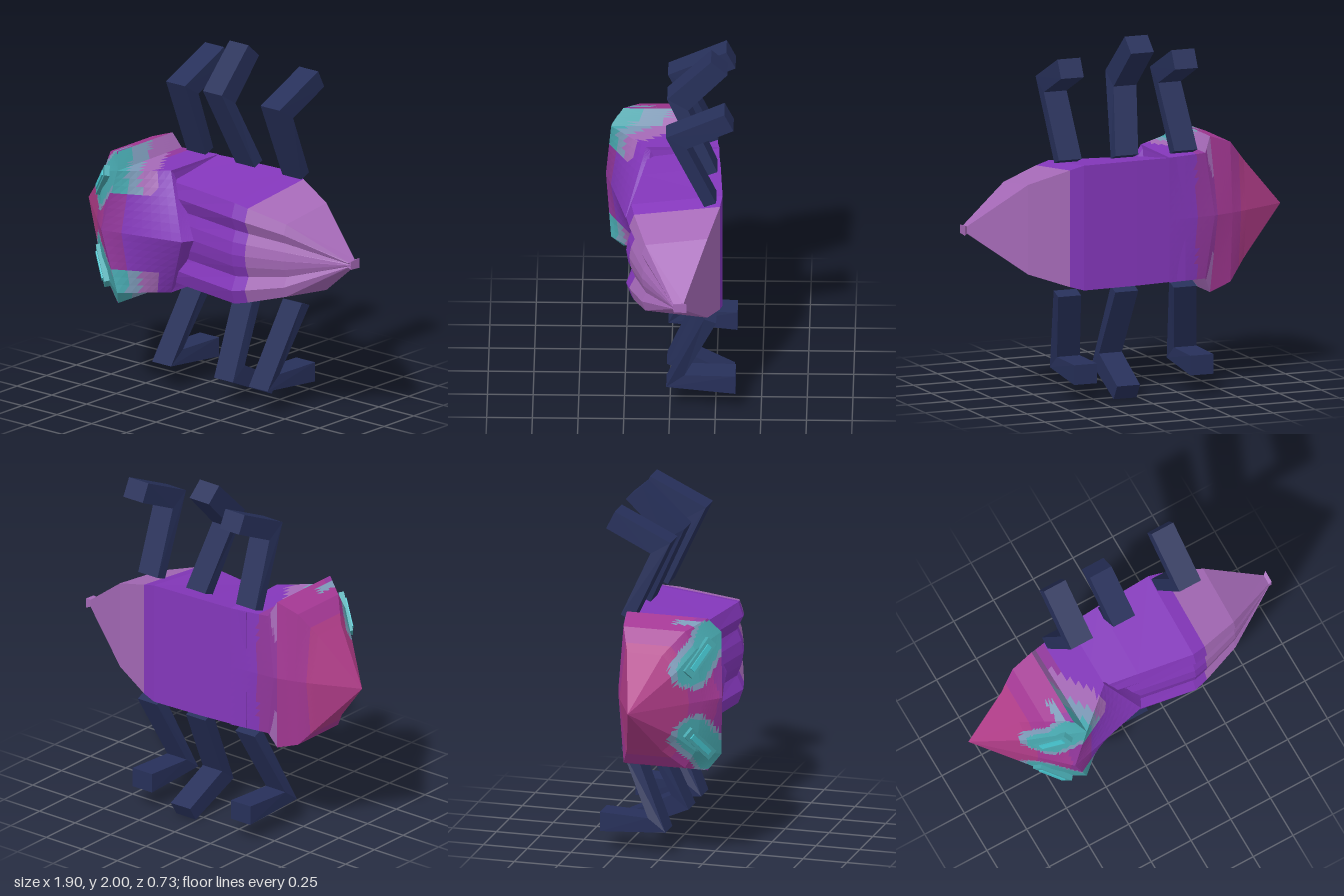
import * as THREE from 'three';

const CY = 0.965; // height of the body's mirror plane

const paint = (name, color) => {
  const m = new THREE.MeshStandardMaterial({ color });
  m.name = name;
  return m;
};

// Closed loft through rings of [x, y, z]; each cell is split n x n and painted by pick(x, y, z, ringIndex).
function loft(name, rings, pick, n = 1) {
  const tris = [];
  const V = (p) => new THREE.Vector3(...p);
  const R = rings.map((r) => r.map(V));
  const add = (a, b, c, i) => {
    const area = b.clone().sub(a).cross(c.clone().sub(a)).length();
    if (area > 1e-9) tris.push({ p: [a, b, c], i });
  };
  const count = R[0].length;
  for (let i = 0; i < R.length - 1; i++) {
    for (let j = 0; j < count; j++) {
      const k = (j + 1) % count;
      const at = (u, v) => R[i][j].clone().lerp(R[i][k], u)
        .lerp(R[i + 1][j].clone().lerp(R[i + 1][k], u), v);
      for (let a = 0; a < n; a++) for (let b = 0; b < n; b++) {
        const p = at(a / n, b / n), q = at(a / n, (b + 1) / n);
        const r = at((a + 1) / n, (b + 1) / n), s = at((a + 1) / n, b / n);
        add(p, q, r, i);
        add(p, r, s, i);
      }
    }
  }
  // End caps
  [0, R.length - 1].forEach((e) => {
    const mid = new THREE.Vector3();
    R[e].forEach((p) => mid.addScaledVector(p, 1 / count));
    for (let j = 0; j < count; j++) {
      const p = R[e][j], q = R[e][(j + 1) % count];
      if (e === 0) add(mid, p, q, 0); else add(mid, q, p, e - 1);
    }
  });
  // Turn the surface outward
  const center = R[0][0];
  let volume = 0;
  tris.forEach(({ p: [a, b, c] }) => {
    volume += a.clone().sub(center).dot(b.clone().sub(center).cross(c.clone().sub(center)));
  });
  const byPaint = new Map();
  tris.forEach(({ p: [a, b, c], i }) => {
    const m = a.clone().add(b).add(c).divideScalar(3);
    const mat = pick(m.x, m.y, m.z, i);
    if (!byPaint.has(mat)) byPaint.set(mat, []);
    (volume < 0 ? [a, c, b] : [a, b, c]).forEach((v) => byPaint.get(mat).push(v.x, v.y, v.z));
  });
  const group = new THREE.Group();
  group.name = name;
  byPaint.forEach((pos, mat) => {
    const g = new THREE.BufferGeometry();
    g.setAttribute('position', new THREE.Float32BufferAttribute(pos, 3));
    g.computeVertexNormals();
    const mesh = new THREE.Mesh(g, mat);
    mesh.name = `${name} ${mat.name}`;
    group.add(mesh);
  });
  return group;
}

// Half a ring (first and last points on the mirror plane) made whole.
const mirrorRing = (half) => [
  ...half.map(([x, d, z]) => [x, CY + d, z]),
  ...half.slice(1, -1).reverse().map(([x, d, z]) => [x, CY - d, z]),
];

export function createModel() {
  const purple = paint('shellPurple', 0x8437bb);
  const mauve = paint('tailMauve', 0xa66ab8);
  const rose = paint('noseRose', 0xb03c88);
  const magenta = paint('headMagenta', 0xa43894);
  const plum = paint('collarPlum', 0x92379c);
  const teal = paint('teal', 0x48a9b0);
  const steel = paint('steelBlue', 0x7c9ab8);
  const cyan = paint('eyeCyan', 0x46c4ce);
  const navy = paint('legNavy', 0x27305a);

  const model = new THREE.Group();
  model.name = 'beetle';

  // Abdomen and tapering tail: x, front z, back z, half height, groove depth
  const body = [
    [-0.3, 0.13, -0.25, 0.345, 0.02],
    [0.0, 0.185, -0.272, 0.348, 0.03],
    [0.32, 0.24, -0.288, 0.348, 0.035],
    [0.4, 0.222, -0.275, 0.325, 0.033],
    [0.62, 0.15, -0.21, 0.25, 0.025],
    [0.93, -0.025, -0.085, 0.02, 0.004],
    [0.95, -0.03, -0.1, 0.028, 0],
  ].map(([x, f, b, h, g]) => mirrorRing([
    [x, 0, f], [x, h * 0.2, f - g * 0.3], [x, h * 0.38, f - g], [x, h * 0.6, f],
    [x, h * 0.83, f - g * 0.8], [x, h, b], [x, 0, b],
  ]));
  model.add(loft('abdomen', body, (x) => (x > 0.4 ? mauve : purple)));

  // Head, flared rim and pointed hood as one skin
  const head = [
    [[-0.95, 0, -0.045], [-0.95, 0, -0.045], [-0.95, 0, -0.045], [-0.95, 0, -0.045], [-0.95, 0, -0.045]],
    [[-0.7, 0, 0.187], [-0.7, 0.19, 0.165], [-0.7, 0.275, 0.08], [-0.7, 0.275, -0.12], [-0.7, 0, -0.16]],
    [[-0.6, 0, 0.28], [-0.6, 0.29, 0.24], [-0.6, 0.39, 0.18], [-0.6, 0.39, -0.17], [-0.6, 0, -0.2]],
    [[-0.51, 0, 0.365], [-0.42, 0.35, 0.335], [-0.47, 0.435, 0.27], [-0.47, 0.435, -0.19], [-0.5, 0, -0.23]],
    [[-0.51, 0, 0.365], [-0.42, 0.35, 0.335], [-0.42, 0.35, 0.33], [-0.43, 0.35, -0.22], [-0.48, 0, -0.235]],
    [[-0.03, 0, 0.25], [-0.2, 0.35, 0.14], [-0.2, 0.35, 0.125], [-0.2, 0.348, -0.262], [-0.2, 0, -0.262]],
    [[0.01, 0, 0.17], [-0.2, 0.33, 0.115], [-0.2, 0.33, 0.1], [-0.2, 0.34, -0.262], [-0.2, 0, -0.262]],
  ].map(mirrorRing);
  const eyeLine = new THREE.Line3(new THREE.Vector3(-0.63, 0.17, 0), new THREE.Vector3(-0.47, 0.35, 0));
  const headPaint = (x, y, z, i) => {
    const d = Math.abs(y - CY);
    const s = x - 0.58 * (z - 0.335); // slanted colour bands behind the rim
    if (i < 3) {
      const p = new THREE.Vector3(x, d, 0);
      const gap = eyeLine.closestPointToPoint(p, true, new THREE.Vector3()).distanceTo(p);
      if (z > 0.1 && d < 0.425 && gap < 0.075) return teal;
      if (z > 0.1 && d < 0.425 && gap < 0.095) return steel;
      if (x < -0.66) return rose;
      return x < -0.52 || z < 0.2 ? magenta : plum;
    }
    if (d > 0.22 && z > -0.215) {
      if (s < -0.36) return teal;
      if (s < -0.27) return steel;
      if (s < -0.17 || i === 3) return mauve;
    }
    return x < -0.37 ? plum : purple;
  };
  model.add(loft('head', head, headPaint, 8));

  // Slanted eyes: a slab with a narrower raised strip
  for (const side of [1, -1]) {
    const along = new THREE.Vector3(0.15, 0.17 * side, 0.1).normalize();
    const out = new THREE.Vector3(-0.9, 0.2 * side, 1);
    out.addScaledVector(along, -out.dot(along)).normalize();
    const eye = new THREE.Group();
    eye.name = side > 0 ? 'upperEye' : 'lowerEye';
    [[0.235, 0.065, 0.03, 0, teal], [0.17, 0.03, 0.03, 0.008, cyan]].forEach(([l, w, t, lift, mat], k) => {
      const part = new THREE.Mesh(new THREE.BoxGeometry(l, w, t), mat);
      part.name = k ? 'eyeStrip' : 'eyeSlab';
      part.position.z = lift;
      eye.add(part);
    });
    eye.applyMatrix4(new THREE.Matrix4().makeBasis(along, out.clone().cross(along), out));
    eye.position.set(-0.59, CY + 0.245 * side, 0.258);
    model.add(eye);
  }

  // Bent legs: section ends as [y, z] on the outer and inner edge at base, knee and tip
  const leg = (name, xs, sections) => {
    const rings = sections.map(([o, n], k) => [
      [xs[k] - 0.068, ...o], [xs[k] + 0.068, ...o], [xs[k] + 0.068, ...n], [xs[k] - 0.068, ...n],
    ]);
    model.add(loft(name, rings, () => navy));
  };
  const upperTop = [[[1.32, -0.19], [1.345, -0.255]], [[1.77, 0.02], [1.7, -0.095]]];
  const lowerTop = [[[0.61, -0.19], [0.585, -0.255]], [[0.14, 0.02], [0.215, -0.08]]];
  const upperTip = [[1.92, -0.3], [1.82, -0.35]];
  const lowerTip = [[0.11, -0.36], [0.22, -0.36]];
  leg('upperFrontLeg', [-0.3, -0.27, -0.262], [...upperTop, upperTip]);
  leg('upperMiddleLeg', [0.052, -0.005, -0.018], [...upperTop, [[2.0, -0.22], [1.92, -0.31]]]);
  leg('upperRearLeg', [0.388, 0.41, 0.416], [...upperTop, upperTip]);
  leg('lowerFrontLeg', [-0.295, -0.37, -0.35], [...lowerTop, lowerTip]);
  leg('lowerMiddleLeg', [0.052, 0.075, 0.082], [...lowerTop, [[0.0, -0.3], [0.08, -0.35]]]);
  leg('lowerRearLeg', [0.392, 0.325, 0.342], [...lowerTop, lowerTip]);

  return model;
}
